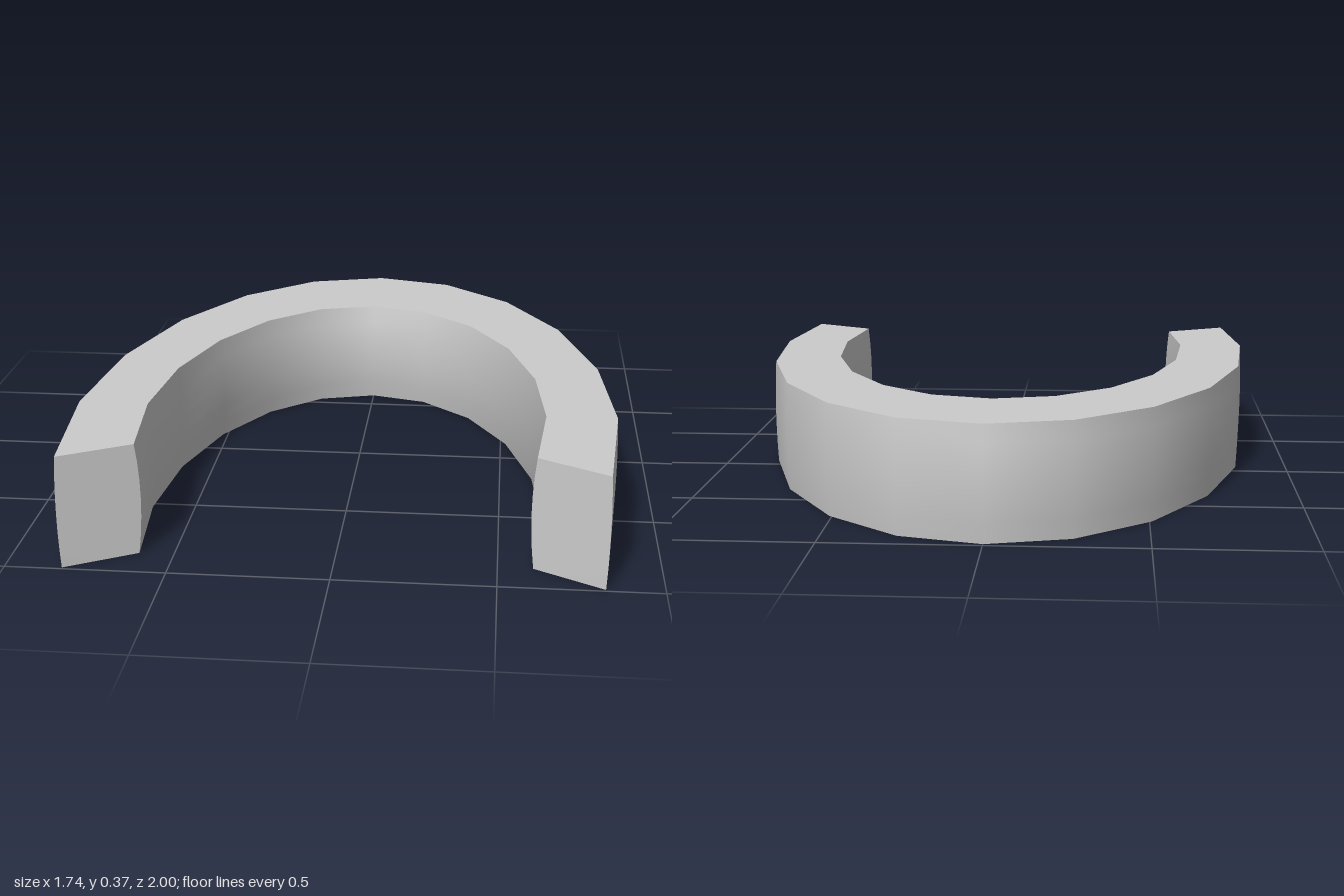
import * as THREE from 'three';
import { mergeGeometries } from 'three/addons/utils/BufferGeometryUtils.js';

const HEIGHT = 0.365, STEPS = 12, LEVELS = 6, HALF_ANGLE = THREE.MathUtils.degToRad(108);

// Point on the shoe: t along the arch, s from inner (0) to outer (1), v from bottom to top
function shoePoint(t, s, v) {
  const a = (2 * t - 1) * HALF_ANGLE;
  const bulge = 1 - (2 * v - 1) ** 2; // walls swell slightly at mid height
  const rx = THREE.MathUtils.lerp(0.64 - 0.012 * bulge, 0.865 + 0.005 * bulge, s);
  const rz = THREE.MathUtils.lerp(1.12 - 0.025 * bulge, 1.51 + 0.015 * bulge, s);
  return [rx * Math.sin(a), v * HEIGHT, 0.525 - rz * Math.cos(a)];
}

// Smooth surface patch over a grid of points
function patch(nu, nv, flip, point) {
  const positions = [], index = [];
  for (let i = 0; i <= nu; i++)
    for (let j = 0; j <= nv; j++) positions.push(...point(i / nu, j / nv));
  for (let i = 0; i < nu; i++)
    for (let j = 0; j < nv; j++) {
      const a = i * (nv + 1) + j, b = a + nv + 1;
      if (flip) index.push(a, b + 1, b, a, a + 1, b + 1);
      else index.push(a, b, b + 1, a, b + 1, a + 1);
    }
  const g = new THREE.BufferGeometry();
  g.setAttribute('position', new THREE.Float32BufferAttribute(positions, 3));
  g.setIndex(index);
  g.computeVertexNormals();
  return g;
}

export function createModel() {
  const group = new THREE.Group();
  group.name = 'horseshoe';
  const geometry = mergeGeometries([
    patch(STEPS, LEVELS, true, (u, v) => shoePoint(u, 1, v)),  // outer wall
    patch(STEPS, LEVELS, false, (u, v) => shoePoint(u, 0, v)), // inner wall
    patch(STEPS, 1, false, (u, v) => shoePoint(u, v, 1)),      // top
    patch(STEPS, 1, true, (u, v) => shoePoint(u, v, 0)),       // bottom
    patch(1, LEVELS, false, (u, v) => shoePoint(1, u, v)),     // left end
    patch(1, LEVELS, true, (u, v) => shoePoint(0, u, v)),      // right end
  ]);
  const shoe = new THREE.Mesh(geometry, new THREE.MeshStandardMaterial({ color: 0xcccccc }));
  shoe.name = 'curvedBar';
  group.add(shoe);
  return group;
}
